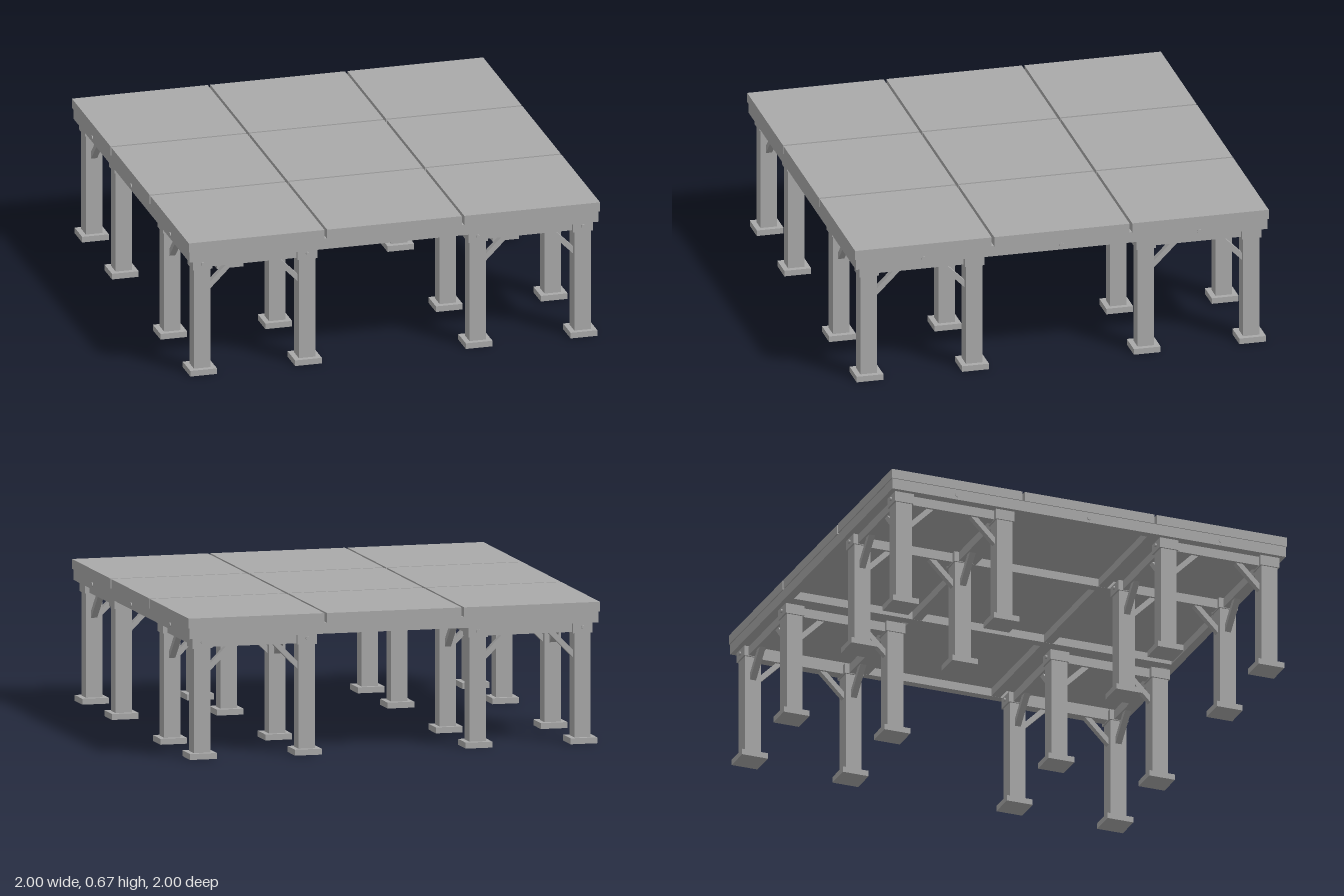
import * as THREE from 'three';

export function createModel() {
  const model = new THREE.Group();
  model.name = 'modularPlatform';
  const grey = new THREE.MeshStandardMaterial({ color: 0xaaaaaa });
  grey.name = 'concrete grey';

  const box = (parent, name, w, h, d, x, y, z) => {
    const mesh = new THREE.Mesh(new THREE.BoxGeometry(w, h, d), grey);
    mesh.name = name;
    mesh.position.set(x, y, z);
    parent.add(mesh);
    return mesh;
  };
  // Bolt head pointing along x or z
  const bolt = (parent, axis, r, len, x, y, z) => {
    const mesh = new THREE.Mesh(new THREE.CylinderGeometry(r, r, len, 12), grey);
    mesh.name = 'bolt';
    if (axis === 'x') mesh.rotation.z = Math.PI / 2;
    else mesh.rotation.x = Math.PI / 2;
    mesh.position.set(x, y, z);
    parent.add(mesh);
  };

  // Deck: nine slabs with narrow joints
  const deck = new THREE.Group();
  deck.name = 'deck';
  model.add(deck);
  const pitch = 2 / 3;
  for (let i = -1; i <= 1; i++) for (let j = -1; j <= 1; j++) {
    // Outer slabs are trimmed only on the inner side
    const wx = i ? 0.66 : 0.655, wz = j ? 0.66 : 0.655;
    box(deck, 'slab', wx, 0.046, wz, i * (1 - 0.33), 0.647, j * (1 - 0.33));
  }
  box(deck, 'deckBoard', 1.99, 0.012, 1.99, 0, 0.618, 0);

  // Frame: edge beams and joists below the joints
  const frame = new THREE.Group();
  frame.name = 'frame';
  model.add(frame);
  for (const s of [-1, 1]) {
    box(frame, 'edgeBeamZ', 0.04, 0.045, 1.99, s * 0.975, 0.5945, 0);
    box(frame, 'edgeBeamX', 1.91, 0.045, 0.04, 0, 0.5945, s * 0.975);
    box(frame, 'joistZ', 0.045, 0.045, 1.91, s * pitch / 2, 0.5945, 0);
    box(frame, 'joistX', 1.91, 0.044, 0.045, 0, 0.5945, s * pitch / 2);
    for (const k of [-1, 0, 1]) bolt(frame, 'x', 0.011, 0.01, s * 0.995, 0.595, k * pitch);
  }

  // Knee brace profile, starting at a post face
  const braceShape = new THREE.Shape([[0, 0.405], [0.12, 0.525], [0.085, 0.525], [0, 0.44]]
    .map(([x, y]) => new THREE.Vector2(x, y)));
  const braceGeometry = new THREE.ExtrudeGeometry(braceShape, { depth: 0.03, bevelEnabled: false });
  braceGeometry.translate(0, 0, -0.015);

  // Four trestles, each with four posts
  const half = 0.255, centre = 0.67;
  for (const cx of [-centre, centre]) for (const cz of [-centre, centre]) {
    const trestle = new THREE.Group();
    trestle.name = 'trestle';
    trestle.position.set(cx, 0, cz);
    model.add(trestle);

    for (const sx of [-1, 1]) for (const sz of [-1, 1]) {
      const x = sx * half, z = sz * half;
      box(trestle, 'foot', 0.13, 0.028, 0.13, x, 0.014, z);
      box(trestle, 'post', 0.08, 0.542, 0.08, x, 0.299, z);
      box(trestle, 'postCap', 0.095, 0.05, 0.095, x, 0.547, z);
      bolt(trestle, 'z', 0.009, 0.01, x, 0.55, z + sz * 0.051);
    }
    for (const s of [-1, 1]) {
      box(trestle, 'tieBeamX', 2 * half, 0.045, 0.05, 0, 0.5475, s * half);
      box(trestle, 'tieBeamZ', 0.05, 0.045, 2 * half, s * half, 0.5485, 0);
    }
    // Each quarter turn places the two braces of one side
    for (let q = 0; q < 4; q++) {
      const side = new THREE.Group();
      side.name = 'braces';
      side.rotation.y = q * Math.PI / 2;
      trestle.add(side);
      for (const turn of [0, Math.PI]) {
        const brace = new THREE.Mesh(braceGeometry, grey);
        brace.name = 'kneeBrace';
        brace.rotation.y = turn;
        brace.position.set(turn ? half - 0.04 : 0.04 - half, 0, half);
        side.add(brace);
      }
    }
  }
  return model;
}
